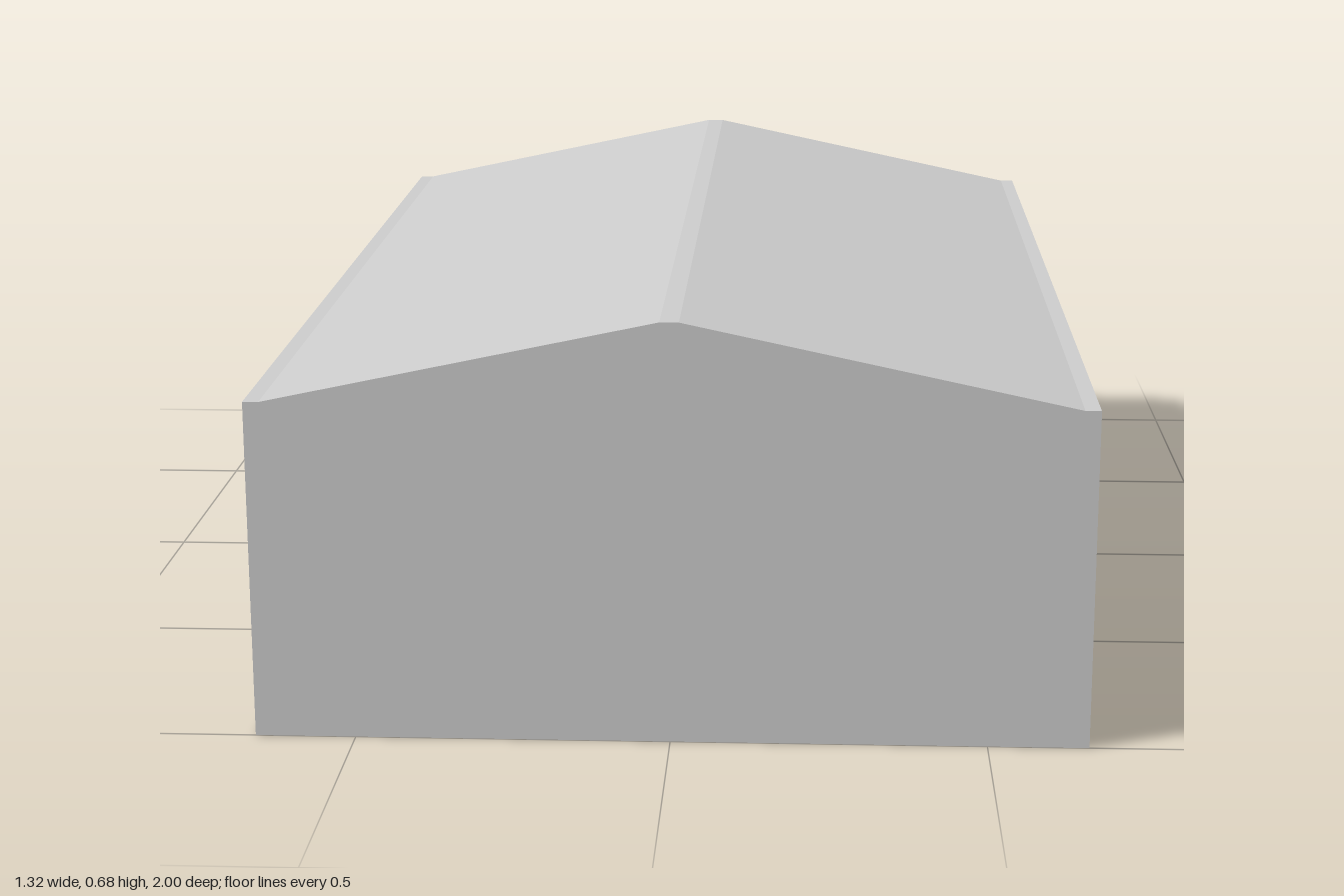
import * as THREE from 'three';

const W = 0.66;      // half width
const EAVE = 0.548;  // eave height
const RIDGE = 0.68;  // ridge height
const POST = 0.023;  // post and beam thickness
const SKIN = 0.01;   // wall thickness
const ROOF = 0.015;  // roof thickness

export function createModel() {
  const group = new THREE.Group();
  const mat = new THREE.MeshStandardMaterial({ color: 0xcccccc, flatShading: true });

  const add = (name, geometry, x, y, z) => {
    const mesh = new THREE.Mesh(geometry, mat);
    mesh.name = name;
    mesh.position.set(x, y, z);
    group.add(mesh);
    return mesh;
  };
  const box = (name, w, h, d, x, y, z) => add(name, new THREE.BoxGeometry(w, h, d), x, y, z);
  // Outline in x/y, extruded from z0 to z1
  const slab = (name, points, z0, z1) => {
    const shape = new THREE.Shape(points.map(([x, y]) => new THREE.Vector2(x, y)));
    return add(name, new THREE.ExtrudeGeometry(shape, { depth: z1 - z0, bevelEnabled: false }), 0, 0, z0);
  };

  // Pitched roof with a small flat ridge and flat eave strips
  const top = [[-W, EAVE], [-0.635, EAVE], [-0.015, RIDGE], [0.015, RIDGE], [0.635, EAVE], [W, EAVE]];
  const under = top.map(([x, y]) => [x, y - ROOF]).reverse();
  slab('roof', [...top, ...under], -1, 1 - SKIN);

  // Closed front gable wall
  slab('frontWall', [[-W, 0], [W, 0], ...[...top].reverse()], 1 - SKIN, 1);

  // Rear gable wall closes one half only
  slab('rearHalfWall', [[-W, 0], [0, 0], [0, RIDGE - ROOF], [-0.015, RIDGE - ROOF],
    [-0.635, EAVE - ROOF], [-W, EAVE - ROOF]], -1, -1 + SKIN);

  // Side walls: one side full, the other only in its end bays
  const wallH = EAVE - ROOF;
  const sideWall = (name, side, z0, z1) =>
    box(name, SKIN, wallH, z1 - z0, side * (W - SKIN / 2), wallH / 2, (z0 + z1) / 2);
  sideWall('closedSideWall', 1, -1, 1 - SKIN);
  sideWall('openSideRearPanel', -1, -1 + SKIN, -0.6);
  sideWall('openSideFrontPanel', -1, 0.6, 1 - SKIN);

  // Posts along both sides, just inside the skin, with eave beams on top
  const inset = SKIN + POST / 2;
  for (const side of [-1, 1]) {
    const x = side * (W - inset);
    for (const z of [-1 + inset, -0.6, -0.2, 0.2, 0.6, 1 - inset]) {
      box('sidePost', POST, wallH, POST, x, wallH / 2, z);
    }
    box('eaveBeam', POST, POST, 2 - 2 * SKIN, x, wallH - POST / 2, 0);
  }

  // Centre posts and rafters at both gables
  for (const end of [-1, 1]) {
    const z = end * (1 - inset);
    const h = RIDGE - ROOF;
    box('gablePost', POST, h, POST, 0, h / 2, z);
    for (const side of [-1, 1]) {
      const a = side * 0.635, b = side * 0.015;
      slab('gableRafter', [[a, EAVE - ROOF], [b, h], [b, h - POST], [a, EAVE - ROOF - POST]],
        z - POST / 2, z + POST / 2);
    }
  }
  return group;
}
